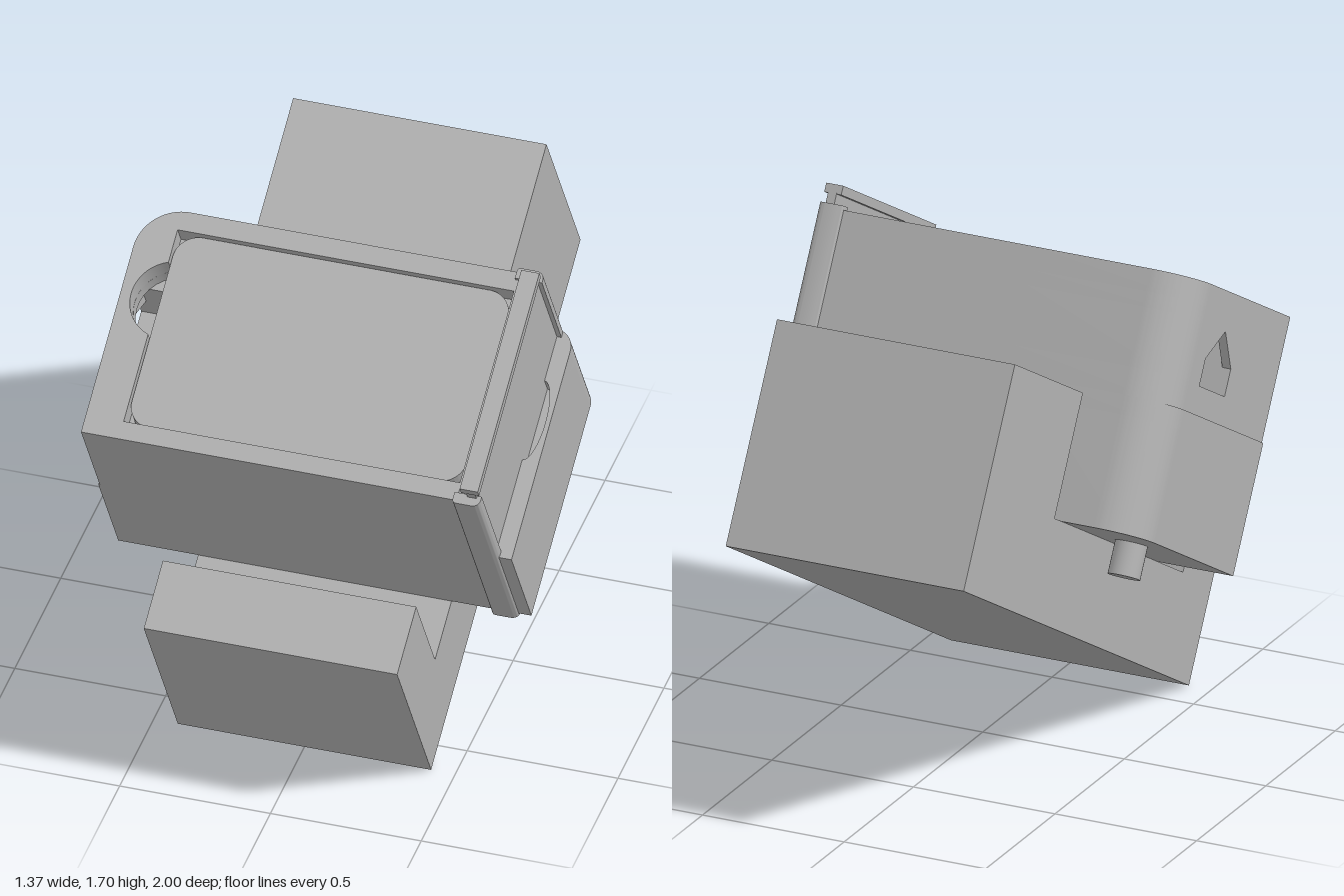
import * as THREE from 'three';
import { toCreasedNormals } from 'three/addons/utils/BufferGeometryUtils.js';

const grey = new THREE.MeshStandardMaterial({ color: 0xb0b0b0 });
grey.name = 'matte grey';

// Extents in the tilted frame: x across, u along the cradle (backwards), v up from its base
const U0 = 0.447, U1 = 1.253, V0 = 0.33, SEAM = 0.764, TOP = 1.174;
const NOTCH_U = 0.945, NOTCH_X = -0.51, NOTCH_R = 0.135;

const poly = (pts) => new THREE.Shape(pts.map(([a, b]) => new THREE.Vector2(a, b)));

function extrude(shape, depth) {
  return new THREE.ExtrudeGeometry(shape, { depth, bevelEnabled: false, curveSegments: 16 });
}

export function createModel() {
  const model = new THREE.Group();
  const tilted = new THREE.Group();
  tilted.name = 'tiltedAssembly';
  tilted.rotation.x = Math.PI / 6;
  tilted.position.z = 0.63;
  model.add(tilted);

  function add(name, geometry) {
    const mesh = new THREE.Mesh(toCreasedNormals(geometry, 0.6), grey);
    mesh.name = name;
    tilted.add(mesh);
    return mesh;
  }
  // Shape in (x, u) raised from v0 to v1
  const layer = (name, shape, v0, v1) =>
    add(name, extrude(shape, v1 - v0).rotateX(-Math.PI / 2).translate(0, v0, 0));
  // Shape in (u, v) pushed from x0 to x1
  const slab = (name, shape, x0, x1) =>
    add(name, extrude(shape, x1 - x0).rotateY(Math.PI / 2).translate(x0, 0, 0));
  const box = (name, x0, x1, u0, u1, v0, v1) =>
    layer(name, poly([[x0, u0], [x1, u0], [x1, u1], [x0, u1]]), v0, v1);

  // Cradle with a low front lip and a heavy rear block
  slab('cradle', poly([[0, 0], [1.877, 0], [1.877, 0.74], [1.31, 0.74],
    [1.31, V0], [0.24, V0], [0.24, 0.74], [0, 0.74]]), -0.42, 0.42);

  // Lower case, rounded at the two rear corners
  function lowerShape() {
    const s = new THREE.Shape();
    s.moveTo(-0.685, U0);
    s.lineTo(0.685, U0);
    s.lineTo(0.685, U1 - 0.066);
    s.absarc(0.619, U1 - 0.066, 0.066, 0, Math.PI / 2);
    s.lineTo(-0.535, U1);
    s.absarc(-0.535, U1 - 0.15, 0.15, Math.PI / 2, Math.PI);
    s.closePath();
    return s;
  }
  layer('lowerCase', lowerShape(), V0, 0.7);
  // Rim of the lower case with a finger scoop behind the cover
  const rim = lowerShape();
  const scoop = new THREE.Path();
  scoop.absellipse(0.63, 0.93, 0.04, 0.14, 0, Math.PI * 2, false, 0);
  rim.holes.push(scoop);
  layer('lowerCaseRim', rim, 0.7, SEAM);

  // Upper case core; the left wall is a separate plate so that it can carry an opening
  function coreShape(sideCut) {
    const s = new THREE.Shape();
    s.moveTo(-0.65, U0);
    s.lineTo(0.565, U0);
    s.lineTo(0.565, U1);
    s.lineTo(-0.53, U1);
    s.absarc(-0.53, U1 - 0.15, 0.15, Math.PI / 2, Math.PI);
    s.lineTo(-0.65, U1 - 0.15);
    if (sideCut) {
      s.lineTo(-0.65, 1.02);
      s.lineTo(-0.4, 1.02);
      s.lineTo(-0.4, 0.81);
      s.lineTo(-0.65, 0.81);
    }
    s.closePath();
    return s;
  }
  layer('upperCaseBase', coreShape(false), SEAM, 0.855);
  layer('upperCaseMiddle', coreShape(true), 0.855, 1.05);

  const notched = coreShape(false);
  const notch = new THREE.Path();
  notch.absarc(NOTCH_X, NOTCH_U, NOTCH_R, 0, Math.PI * 2);
  notched.holes.push(notch);
  layer('upperCaseShelf', notched, 1.05, 1.1);

  // Top frame: rectangular pocket with a thumb notch on its left edge
  const frame = coreShape(false);
  const pocket = new THREE.Path();
  const edge = -0.555;
  const a = Math.acos((edge - NOTCH_X) / NOTCH_R);
  pocket.moveTo(edge, 0.509);
  pocket.lineTo(0.56, 0.509);
  pocket.lineTo(0.56, 1.187);
  pocket.lineTo(edge, 1.187);
  pocket.absarc(NOTCH_X, NOTCH_U, NOTCH_R, a, Math.PI * 2 - a);
  pocket.closePath();
  frame.holes.push(pocket);
  layer('topFrame', frame, 1.1, TOP);

  // Rounded panel sitting just below the frame
  const panel = new THREE.Shape();
  const [px0, px1, pu0, pu1, pr] = [-0.553, 0.558, 0.511, 1.185, 0.08];
  panel.absarc(px0 + pr, pu0 + pr, pr, Math.PI, Math.PI * 1.5);
  panel.absarc(px1 - pr, pu0 + pr, pr, Math.PI * 1.5, Math.PI * 2);
  panel.absarc(px1 - pr, pu1 - pr, pr, 0, Math.PI / 2);
  panel.absarc(px0 + pr, pu1 - pr, pr, Math.PI / 2, Math.PI);
  panel.closePath();
  layer('topPanel', panel, 1.1, 1.15);

  // Left wall with a gabled opening
  const wall = poly([[U0, SEAM], [U1 - 0.15, SEAM], [U1 - 0.15, TOP], [U0, TOP]]);
  wall.holes.push(poly([[0.81, 0.855], [1.02, 0.855], [1.02, 0.945], [0.915, 1.05], [0.81, 0.945]]));
  slab('leftWall', wall, -0.68, -0.65);

  // Sliding side cover with a grip bar along its top
  box('sideCover', 0.6, 0.63, 0.46, 1.235, 0.7, 1.225);
  box('coverGrip', 0.585, 0.645, 0.456, 1.231, 1.222, 1.252);

  // Rounded guide rails in front of and behind the cover
  for (const [name, flip] of [['frontRail', false], ['rearRail', true]]) {
    const u = (t) => (flip ? 1.695 - t : t);
    const s = new THREE.Shape();
    s.moveTo(0.555, u(0.469));
    s.lineTo(0.555, u(0.445));
    s.quadraticCurveTo(0.555, u(0.432), 0.57, u(0.432));
    s.lineTo(0.615, u(0.432));
    s.quadraticCurveTo(0.645, u(0.432), 0.645, u(0.46));
    s.lineTo(0.645, u(0.469));
    s.closePath();
    layer(name, s, 0.318, 1.187);
  }

  // Pegs under the two overhanging sides
  for (const x of [-0.535, 0.535]) {
    add('peg', new THREE.CylinderGeometry(0.053, 0.053, 0.14, 32).translate(x, 0.29, -0.94));
  }
  return model;
}
